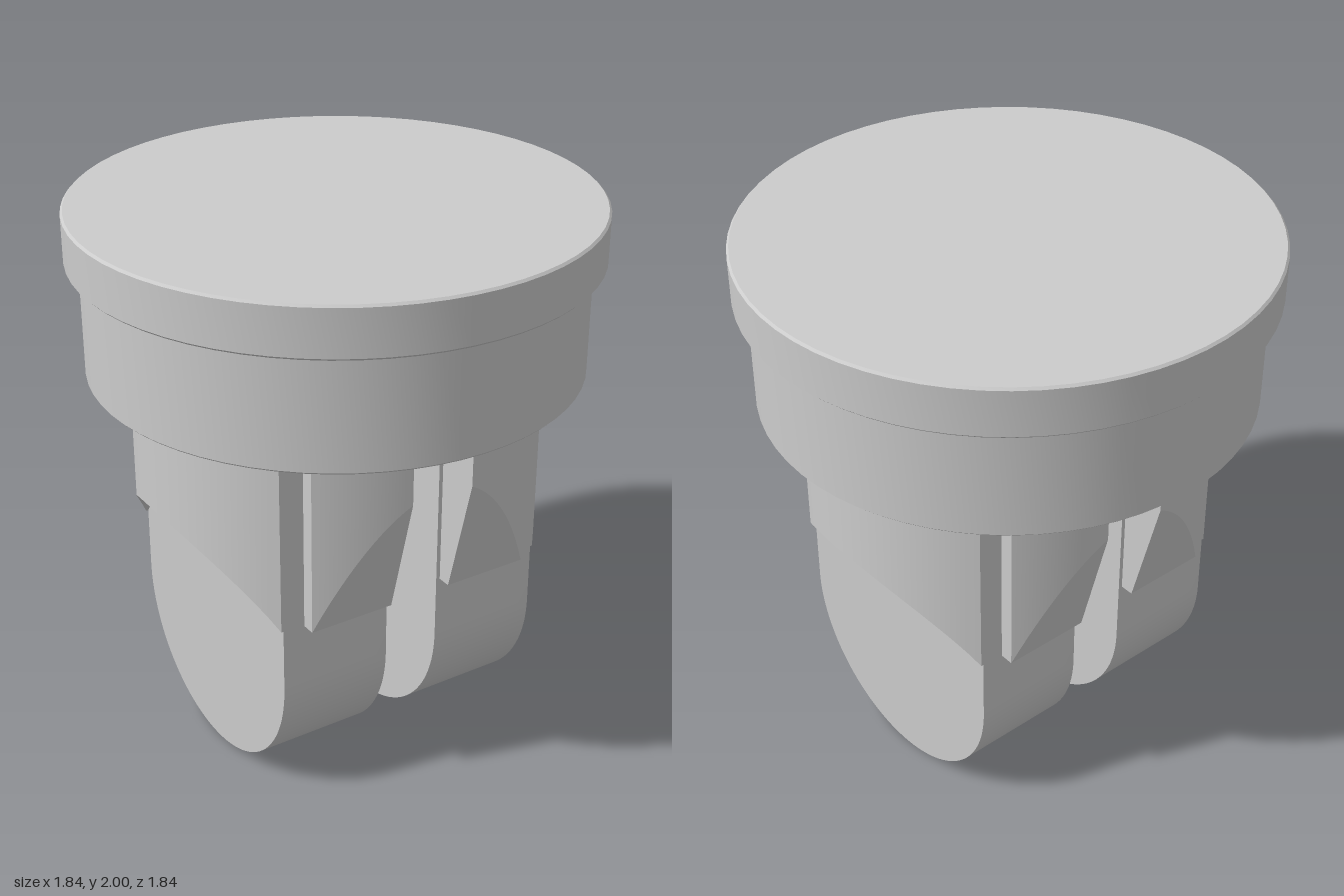
import * as THREE from 'three';
import { toCreasedNormals } from 'three/addons/utils/BufferGeometryUtils.js';

const material = new THREE.MeshStandardMaterial({ color: 0xcccccc });
const TOP = 1.83;      // stem parts run up into the cap
const HALF_Z = 0.49;   // half depth of the legs
const LEG_IN = 0.105, LEG_OUT = 0.522;

function part(name, geometry, crease = 0.5) {
  const mesh = new THREE.Mesh(toCreasedNormals(geometry, crease), material);
  mesh.name = name;
  return mesh;
}

// Unit box (coordinates 0..1) whose vertices are moved by a rule
function shapedBox(sx, sy, sz, rule) {
  const g = new THREE.BoxGeometry(1, 1, 1, sx, sy, sz).translate(0.5, 0.5, 0.5);
  const p = g.attributes.position;
  for (let i = 0; i < p.count; i++) p.setXYZ(i, ...rule(p.getX(i), p.getY(i), p.getZ(i)));
  return g;
}

// Round cap with a hollow collar beneath it
function cap() {
  const profile = [
    [0, 1.82], [0.81, 1.82], [0.81, 1.412], [0.865, 1.412], [0.872, 1.419], [0.872, 1.82],
    [0.912, 1.82], [0.92, 1.828], [0.92, 1.992], [0.912, 2], [0, 2],
  ].map(([x, y]) => new THREE.Vector2(x, y));
  return part('cap', new THREE.LatheGeometry(profile, 64));
}

// Flat leg with a half-round foot
function leg() {
  const s = new THREE.Shape();
  s.moveTo(HALF_Z, TOP);
  s.lineTo(-HALF_Z, TOP);
  s.lineTo(-HALF_Z, HALF_Z);
  s.absarc(0, HALF_Z, HALF_Z, Math.PI, Math.PI * 2, false);
  s.lineTo(HALF_Z, TOP);
  const g = new THREE.ExtrudeGeometry(s, { depth: LEG_OUT - LEG_IN, bevelEnabled: false, curveSegments: 32 });
  g.rotateY(Math.PI / 2).translate(LEG_IN, 0, 0);
  return part('leg', g);
}

// Curved cheek outside the leg, with an arched underside
function cheek() {
  return part('cheek', shapedBox(1, 1, 28, (u, v, w) => {
    const z = (w * 2 - 1) * HALF_Z;
    const outer = Math.sqrt(0.722 ** 2 - z * z);
    const arch = 0.431 + Math.sqrt(0.569 ** 2 - z * z);
    return [u ? outer : LEG_OUT - 0.02, v ? TOP : arch, z];
  }));
}

// Rounded pad on the leg's face, cut by a sloping plane below the crease
const padFace = (x) => Math.sqrt(0.837 ** 2 - x * x) - 0.172;
const SLOPE = 0.26, PAD_BOTTOM = 0.715, PAD_TOE = 0.54;

function pad(x0, x1) {
  return part('pad', shapedBox(12, 2, 1, (u, v, w) => {
    const x = x0 + (x1 - x0) * u;
    const crease = PAD_BOTTOM + Math.max(0, padFace(x) - PAD_TOE) / SLOPE;
    const y = v < 0.25 ? PAD_BOTTOM : v > 0.75 ? TOP : crease;
    const z = v < 0.25 ? Math.min(PAD_TOE, padFace(x)) : padFace(x);
    return [x, y, w ? z : HALF_Z - 0.02];
  }), 0.2);
}

// Solid web that closes the top of the slot
function bridge() {
  return part('bridge', shapedBox(6, 1, 1, (u, v, w) => {
    const x = (u - 0.5) * 0.24;
    return [x, v ? TOP : 1.36, (w ? 1 : -1) * padFace(x)];
  }));
}

export function createModel() {
  const model = new THREE.Group();
  model.name = 'plug';
  model.add(cap(), bridge());

  // Each half turn gives one leg with its cheek and the two pads of one face
  for (const turn of [0, Math.PI]) {
    const half = new THREE.Group();
    half.name = turn ? 'rightLegBackPads' : 'leftLegFrontPads';
    half.add(leg(), cheek(), pad(0.12, 0.44), pad(-0.44, -0.12));
    half.rotation.y = turn;
    model.add(half);
  }
  return model;
}
